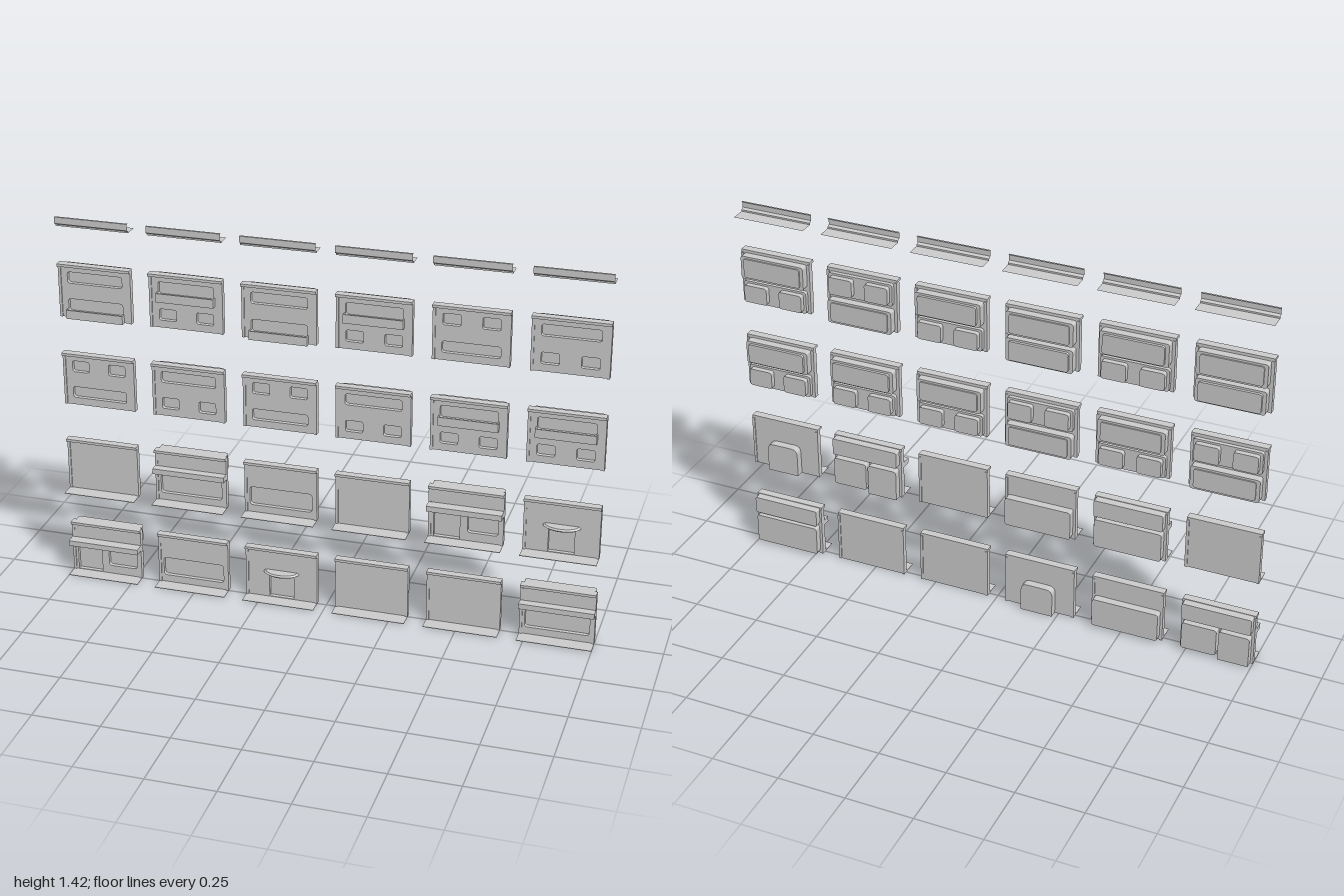
import * as THREE from 'three';

const W = 0.275, H = 0.206, PITCH = 0.345;
const grey = new THREE.MeshStandardMaterial({ color: 0xcccccc });
grey.name = 'plain grey';
grey.side = THREE.DoubleSide;

function add(parent, name, geometry, x = 0, y = 0, z = 0) {
  const mesh = new THREE.Mesh(geometry, grey);
  mesh.name = name;
  mesh.position.set(x, y, z);
  parent.add(mesh);
  return mesh;
}

// Box given by its limits
function block(parent, name, x0, x1, y0, y1, z0, z1) {
  return add(parent, name, new THREE.BoxGeometry(x1 - x0, y1 - y0, z1 - z0),
    (x0 + x1) / 2, (y0 + y1) / 2, (z0 + z1) / 2);
}

// Rounded rectangle outline; top and bottom corner radii differ for doors
function rounded(path, x0, x1, y0, y1, r, rb = r) {
  path.moveTo(x0 + rb, y0);
  path.lineTo(x1 - rb, y0);
  path.quadraticCurveTo(x1, y0, x1, y0 + rb);
  path.lineTo(x1, y1 - r);
  path.quadraticCurveTo(x1, y1, x1 - r, y1);
  path.lineTo(x0 + r, y1);
  path.quadraticCurveTo(x0, y1, x0, y1 - r);
  path.lineTo(x0, y0 + rb);
  path.quadraticCurveTo(x0, y0, x0 + rb, y0);
  return path;
}

function slab(parent, name, shape, z0, z1) {
  const g = new THREE.ExtrudeGeometry(shape, { depth: z1 - z0, bevelEnabled: false, curveSegments: 4 });
  return add(parent, name, g, 0, 0, z0);
}

// Closed box behind an opening
function backBox(parent, name, x0, x1, y0, y1, z0, z1, r = 0.01, rb = r) {
  slab(parent, name, rounded(new THREE.Shape(), x0, x1, y0, y1, r, rb), z0, z1);
}

// Wall sheet with openings, edge posts and top cornice
function wall(parent, openings) {
  const s = new THREE.Shape();
  s.moveTo(-W / 2, 0);
  s.lineTo(W / 2, 0);
  s.lineTo(W / 2, H);
  s.lineTo(-W / 2, H);
  s.closePath();
  for (const [x0, x1, y0, y1, r, rb] of openings)
    s.holes.push(rounded(new THREE.Path(), x0, x1, y0, y1, r, rb));
  slab(parent, 'wall', s, -0.015, 0);
  for (const k of [-1, 1]) {
    const x = k * (W / 2 - 0.005);
    block(parent, 'edgePost', x - 0.005, x + 0.005, 0, H - 0.01, -0.018, 0.004);
  }
  block(parent, 'cornice', -W / 2, W / 2, H - 0.01, H, -0.015, 0.015);
}

// Upper-storey panel: each half is 'w' wide window, 'p' window pair, 'b' balcony window
function upperPanel(code) {
  const g = new THREE.Group();
  const openings = [];
  [...code].forEach((type, i) => {
    const b = i === 0 ? 0.103 : 0;
    if (type === 'p') {
      backBox(g, 'windowBackPlate', -0.125, 0.125, b + 0.005, b + 0.09, -0.03, -0.015);
      for (const k of [-1, 1]) {
        const c = k * 0.07;
        openings.push([c - 0.032, c + 0.032, b + 0.028, b + 0.071, 0.008, 0.008]);
        backBox(g, 'windowBox', c - 0.045, c + 0.045, b + 0.015, b + 0.082, -0.05, -0.03);
      }
    } else {
      const low = type === 'b' ? b + 0.022 : b + 0.028;
      openings.push([-0.104, 0.104, low, b + 0.071, 0.01, 0.01]);
      backBox(g, 'windowBackPlate', -0.125, 0.125, b + 0.002, b + 0.092, -0.045, -0.015);
      backBox(g, 'windowBox', -0.112, 0.112, b + 0.01, b + 0.084, type === 'b' ? -0.055 : -0.05, -0.045);
    }
    if (type === 'b') {
      block(g, 'balconyFloor', -0.108, 0.108, b, b + 0.006, 0, 0.02);
      block(g, 'balconyParapet', -0.108, 0.108, b + 0.006, b + 0.033, 0.015, 0.02);
      for (const k of [-1, 1])
        block(g, 'balconySide', k * 0.1055 - 0.0025, k * 0.1055 + 0.0025, b + 0.006, b + 0.033, 0, 0.015);
    }
  });
  wall(g, openings);
  return g;
}

// Ground-floor panel: 'p' plain, 'w' window, 'a' window with awning,
// 's' shop door and window with awning, 'd' door with small canopy
function groundPanel(type, banded) {
  const g = new THREE.Group();
  const openings = [];
  if (type === 'w' || type === 'a') {
    openings.push([-0.118, 0.118, 0.03, 0.103, 0.012, 0.012]);
    backBox(g, 'windowBox', -0.127, 0.127, 0.012, 0.125, -0.045, -0.015);
  }
  if (type === 's') {
    openings.push([-0.118, -0.022, 0.004, 0.104, 0.014, 0.001]);
    openings.push([0.006, 0.118, 0.035, 0.104, 0.012, 0.012]);
    backBox(g, 'doorBox', -0.127, -0.012, 0.001, 0.122, -0.045, -0.015, 0.012, 0.001);
    backBox(g, 'windowBox', -0.004, 0.127, 0.014, 0.122, -0.045, -0.015);
  }
  if (type === 'd') {
    openings.push([-0.047, 0.047, 0.004, 0.1, 0.01, 0.001]);
    backBox(g, 'doorBox', -0.062, 0.062, 0.001, 0.115, -0.045, -0.015, 0.025, 0.001);
    // Half-oval canopy tapering at its rim
    const canopy = new THREE.CylinderGeometry(0.06, 0.068, 0.006, 24, 1, false, -Math.PI / 2, Math.PI);
    canopy.scale(1, 1, 0.6);
    add(g, 'doorCanopy', canopy, 0, 0.113, 0);
    const under = new THREE.CylinderGeometry(0.068, 0.058, 0.006, 24, 1, false, -Math.PI / 2, Math.PI);
    under.scale(1, 1, 0.6);
    add(g, 'doorCanopyUnderside', under, 0, 0.107, 0);
  }
  if (type === 'a' || type === 's') {
    block(g, 'awning', -W / 2, W / 2, 0.119, 0.14, 0, type === 's' ? 0.042 : 0.034);
    backBox(g, 'upperBackPlate', -0.13, 0.13, 0.138, 0.204, -0.045, -0.015, 0.006);
  }
  if (banded)
    block(g, 'upperBand', -W / 2 + 0.01, W / 2 - 0.01, 0.14, H - 0.01, 0, 0.003);
  wall(g, openings);
  block(g, 'pavement', -W / 2, W / 2, 0, 0.002, 0, 0.056);
  return g;
}

// Open roof-edge strip: flat sheet behind a raised lip
function roofEdge() {
  const g = new THREE.Group();
  const profile = [[-0.05, 0], [0.004, 0], [0.004, 0.006], [0.014, 0.012], [0.014, 0.036], [0.006, 0.036]];
  const v = [];
  for (let i = 0; i + 1 < profile.length; i++) {
    const [za, ya] = profile[i], [zb, yb] = profile[i + 1], x = W / 2;
    v.push(-x, ya, za, x, ya, za, x, yb, zb, -x, ya, za, x, yb, zb, -x, yb, zb);
  }
  const geo = new THREE.BufferGeometry();
  geo.setAttribute('position', new THREE.Float32BufferAttribute(v, 3));
  geo.computeVertexNormals();
  add(g, 'roofStrip', geo);
  return g;
}

export function createModel() {
  const model = new THREE.Group();
  model.name = 'facadePanelKit';
  const rows = [
    ['s', 'w', 'd', 'p', 'p', 'a'],
    ['p', 'a', 'w', 'p', 's', 'd'],
    ['pw', 'wp', 'pw', 'wp', 'bp', 'bp'],
    ['wb', 'bp', 'wb', 'bp', 'pw', 'wp'],
    ['r', 'r', 'r', 'r', 'r', 'r'],
  ];
  rows.forEach((row, r) => row.forEach((code, c) => {
    const panel = r === 4 ? roofEdge()
      : r > 1 ? upperPanel(code)
      : groundPanel(code, !(r === 1 && c === 0));
    panel.name = r === 4 ? 'roofEdge' : r > 1 ? 'upperPanel' : 'groundPanel';
    panel.position.set((c - 2.5) * PITCH, r * 0.3465, 0);
    model.add(panel);
  }));
  return model;
}
